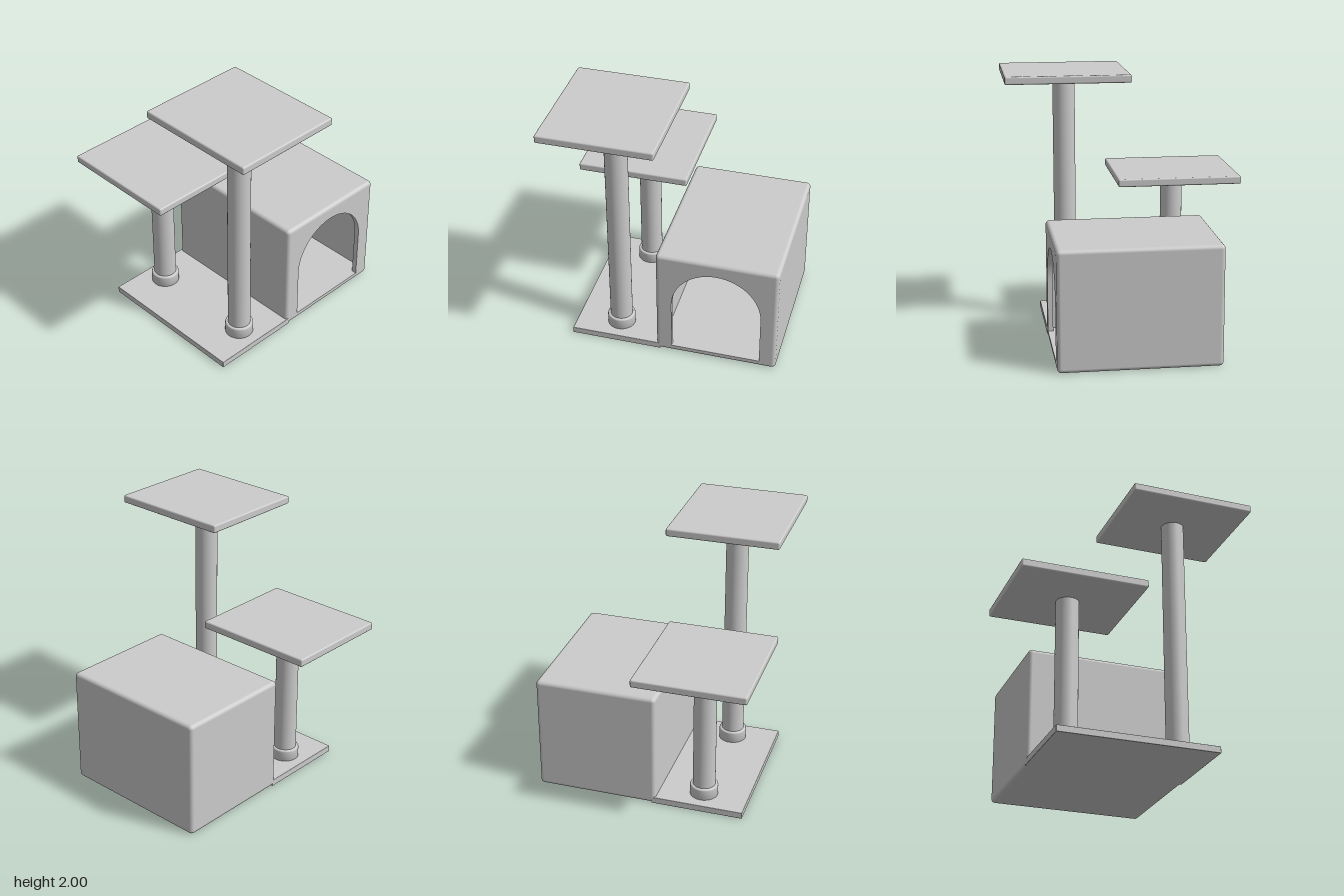
import * as THREE from 'three';
import { RoundedBoxGeometry } from 'three/addons/geometries/RoundedBoxGeometry.js';

const grey = new THREE.MeshStandardMaterial({ color: 0xcccccc });
const inside = new THREE.MeshStandardMaterial({ color: 0xcccccc, side: THREE.BackSide });

function add(parent, name, geometry, x = 0, y = 0, z = 0, material = grey) {
  const mesh = new THREE.Mesh(geometry, material);
  mesh.name = name;
  mesh.position.set(x, y, z);
  parent.add(mesh);
  return mesh;
}

// Drops the triangles lying flat on the front plane z = frontZ
function openFront(geometry, frontZ) {
  const src = geometry.index ? geometry.toNonIndexed() : geometry;
  const p = src.attributes.position, n = src.attributes.normal;
  const pos = [], nor = [];
  for (let i = 0; i < p.count; i += 3) {
    if ([0, 1, 2].every(k => p.getZ(i + k) > frontZ - 1e-4)) continue;
    for (let k = 0; k < 3; k++) {
      pos.push(p.getX(i + k), p.getY(i + k), p.getZ(i + k));
      nor.push(n.getX(i + k), n.getY(i + k), n.getZ(i + k));
    }
  }
  const out = new THREE.BufferGeometry();
  out.setAttribute('position', new THREE.Float32BufferAttribute(pos, 3));
  out.setAttribute('normal', new THREE.Float32BufferAttribute(nor, 3));
  return out;
}

// Hollow box house with an arched doorway in its front
function makeHouse() {
  const house = new THREE.Group();
  house.name = 'house';
  const x0 = -0.09, x1 = 0.835, h = 0.9, d = 1.2, r = 0.03, wall = 0.04;
  const w = x1 - x0, cx = (x0 + x1) / 2;

  add(house, 'houseShell', openFront(new RoundedBoxGeometry(w, h, d, 4, r), d / 2), cx, h / 2, 0);

  // Front panel with the arch cut out
  const panel = new THREE.Shape();
  panel.moveTo(x0 + r, r);
  panel.lineTo(x1 - r, r);
  panel.lineTo(x1 - r, h - r);
  panel.lineTo(x0 + r, h - r);
  panel.closePath();
  const door = new THREE.Path();
  door.moveTo(0.03, 0.05);
  door.lineTo(0.03, 0.45);
  door.absarc(0.37, 0.45, 0.34, Math.PI, 0, true);
  door.lineTo(0.71, 0.05);
  door.closePath();
  panel.holes.push(door);
  const panelGeo = new THREE.ExtrudeGeometry(panel, { depth: wall, bevelEnabled: false, curveSegments: 32 });
  add(house, 'doorPanel', panelGeo, 0, 0, d / 2 - wall);

  // Inner room, seen through the door
  const roomH = h - 0.05 - wall, roomD = d - 2 * wall;
  const room = openFront(new THREE.BoxGeometry(w - 2 * wall, roomH, roomD), roomD / 2);
  add(house, 'innerRoom', room, cx, 0.05 + roomH / 2, 0, inside);
  return house;
}

// Post with a foot collar and a square platform; sits at z, platform centred at platformZ
function makePerch(name, top, z, platformZ) {
  const perch = new THREE.Group();
  perch.name = name;
  const x = -0.42, thick = 0.06, postH = top - thick - 0.04;
  add(perch, 'post', new THREE.CylinderGeometry(0.085, 0.085, postH, 40), x, 0.04 + postH / 2, z);

  const collar = [[0.08, 0.04], [0.106, 0.04], [0.106, 0.128], [0.103, 0.136], [0.096, 0.14], [0.08, 0.14]]
    .map(([a, b]) => new THREE.Vector2(a, b));
  add(perch, 'collar', new THREE.LatheGeometry(collar, 40), x, 0, z);

  add(perch, 'platform', new RoundedBoxGeometry(0.84, thick, 0.94, 3, 0.012), x, top - thick / 2, platformZ);
  return perch;
}

export function createModel() {
  const model = new THREE.Group();
  model.name = 'catTree';

  // Base board beside the house
  add(model, 'base', new RoundedBoxGeometry(0.7, 0.05, 1.2, 2, 0.004), -0.41, 0.025, 0);
  model.add(makeHouse());
  model.add(makePerch('tallPerch', 2.0, 0.42, 0.42));
  model.add(makePerch('lowPerch', 1.21, -0.42, -0.42));
  return model;
}
